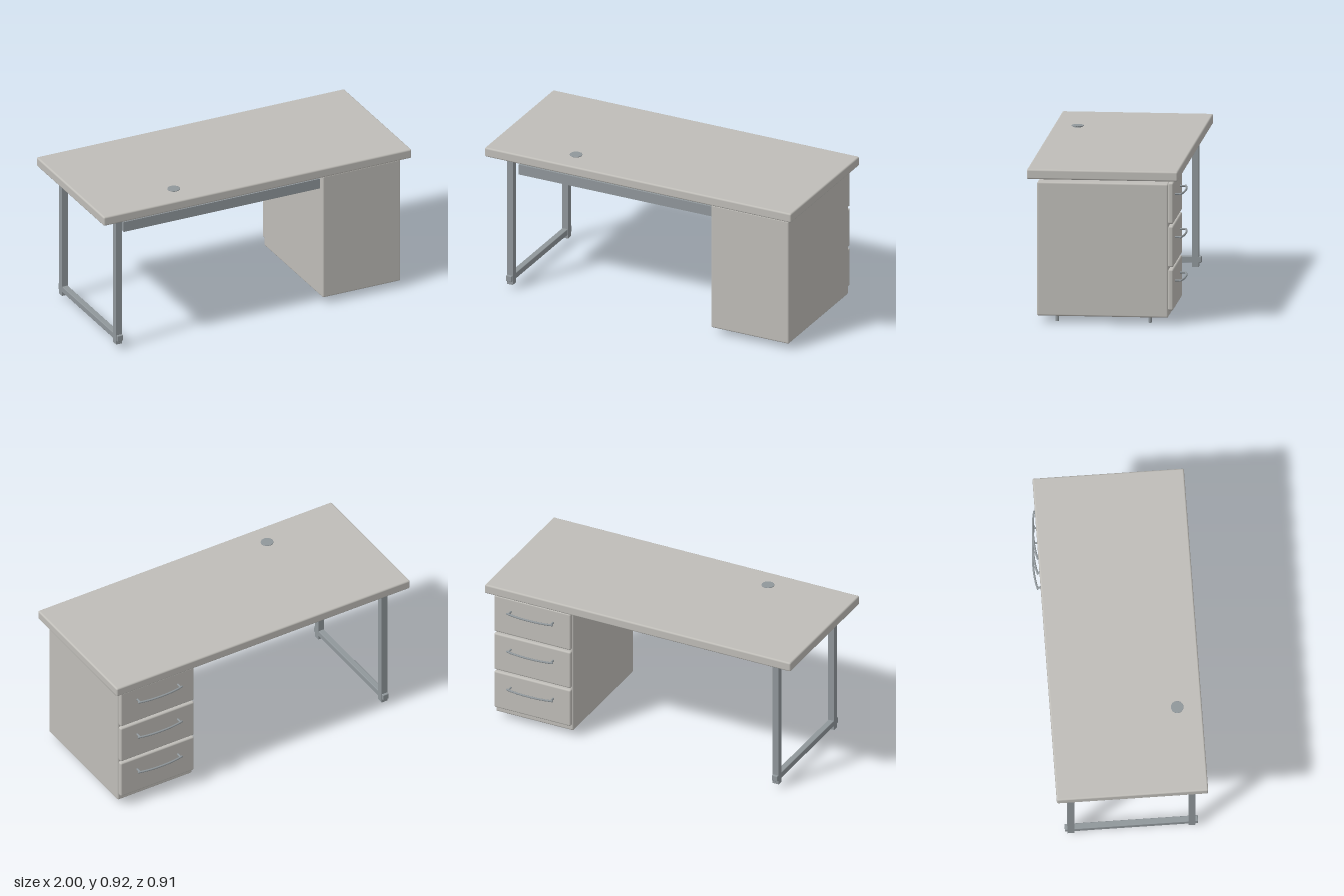
import * as THREE from 'three';
import { RoundedBoxGeometry } from 'three/addons/geometries/RoundedBoxGeometry.js';

const mat = (name, color) => {
  const m = new THREE.MeshStandardMaterial({ color });
  m.name = name;
  return m;
};

export function createModel() {
  const laminate = mat('warm grey laminate', 0xbfbdb8);
  const steel = mat('blue grey steel', 0x90979b);
  const desk = new THREE.Group();
  desk.name = 'desk';

  const add = (name, geometry, material, parent = desk) => {
    const mesh = new THREE.Mesh(geometry, material);
    mesh.name = name;
    parent.add(mesh);
    return mesh;
  };

  // Box given by its lower and upper limits; a radius rounds its edges
  const block = (name, [x0, x1], [y0, y1], [z0, z1], material, radius = 0, parent = desk) => {
    const size = [x1 - x0, y1 - y0, z1 - z0];
    const geometry = radius
      ? new RoundedBoxGeometry(...size, 3, radius)
      : new THREE.BoxGeometry(...size);
    const mesh = add(name, geometry, material, parent);
    mesh.position.set((x0 + x1) / 2, (y0 + y1) / 2, (z0 + z1) / 2);
    return mesh;
  };

  // Worktop and cable grommet
  block('worktop', [-1, 1], [0.852, 0.91], [-0.43, 0.453], laminate, 0.01);
  const grommet = add('cableGrommet', new THREE.LatheGeometry([
    [0.027, 0.905], [0.027, 0.914], [0.037, 0.916], [0.037, 0.919], [0.035, 0.92], [0, 0.92],
  ].map(([r, y]) => new THREE.Vector2(r, y)), 32), steel);
  grommet.geometry = grommet.geometry.toNonIndexed();
  grommet.geometry.computeVertexNormals();
  grommet.position.set(-0.475, 0, 0.309);

  // Drawer cabinet
  const cabinet = new THREE.Group();
  cabinet.name = 'drawerCabinet';
  desk.add(cabinet);
  block('cabinetBody', [0.45, 0.957], [0.04, 0.83], [-0.37, 0.397], laminate, 0.01, cabinet);

  // Bowed handle with two straight standoffs
  const bow = new THREE.CatmullRomCurve3([
    [-0.147, -0.431], [-0.12, -0.437], [-0.06, -0.445], [0, -0.447],
    [0.06, -0.445], [0.12, -0.437], [0.147, -0.431],
  ].map(([x, z]) => new THREE.Vector3(x, 0, z)));
  const bowGeometry = new THREE.TubeGeometry(bow, 32, 0.006, 10);
  const standoffGeometry = new THREE.CylinderGeometry(0.006, 0.006, 0.038, 12);
  const capGeometry = new THREE.SphereGeometry(0.006, 10, 8);

  for (const [y0, y1, handleY] of [
    [0.083, 0.326, 0.243], [0.338, 0.581, 0.499], [0.594, 0.837, 0.754],
  ]) {
    block('drawerFront', [0.453, 0.954], [y0, y1], [-0.4, -0.369], laminate, 0.01, cabinet);
    const handle = new THREE.Group();
    handle.name = 'drawerHandle';
    handle.position.set(0.704, handleY, 0);
    cabinet.add(handle);
    add('handleBow', bowGeometry, steel, handle);
    for (const side of [-1, 1]) {
      const standoff = add('handleStandoff', standoffGeometry, steel, handle);
      standoff.rotation.x = Math.PI / 2;
      standoff.position.set(side * 0.138, 0, -0.415);
      add('handleEnd', capGeometry, steel, handle).position.set(side * 0.147, 0, -0.431);
    }
  }

  // Cabinet feet
  const footGeometry = new THREE.CylinderGeometry(0.01, 0.01, 0.045, 16);
  for (const x of [0.515, 0.89]) {
    for (const z of [-0.258, 0.285]) {
      add('cabinetFoot', footGeometry, steel, cabinet).position.set(x, 0.0225, z);
    }
  }

  // Steel side frame: two posts joined by a low rail that pokes through them
  const legX = [-0.887, -0.848];
  block('frontPost', legX, [0.03, 0.842], [0.347, 0.387], steel);
  block('backPost', legX, [0.03, 0.842], [-0.36, -0.32], steel);
  block('lowerRail', [-0.886, -0.849], [0.053, 0.09], [-0.375, 0.402], steel, 0.004);

  // Long beam under the worktop
  block('frontBeam', [-0.825, 0.455], [0.736, 0.799], [0.335, 0.36], steel);

  return desk;
}
